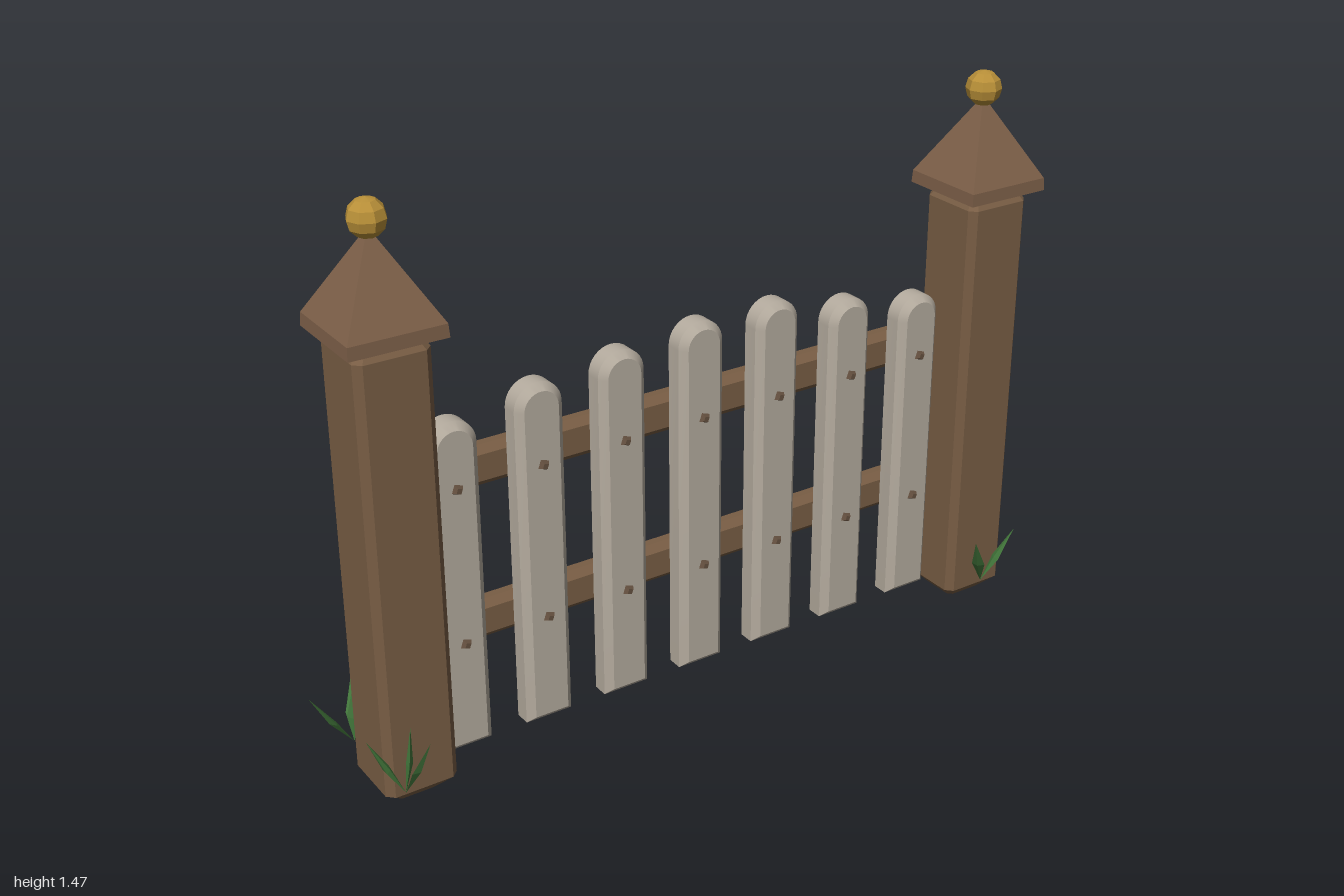
import * as THREE from 'three';
import { toCreasedNormals } from 'three/addons/utils/BufferGeometryUtils.js';
import { ConvexGeometry } from 'three/addons/geometries/ConvexGeometry.js';

const mat = (name, color) => {
  const m = new THREE.MeshStandardMaterial({ color });
  m.name = name;
  return m;
};

// Solid stacked from chamfered rectangles: [height, half width, half depth, chamfer]
function stack(sections) {
  const pts = [];
  for (const [y, w, d, c] of sections)
    for (const sx of [-1, 1]) for (const sz of [-1, 1]) {
      pts.push(new THREE.Vector3(sx * w, y, sz * (d - c)));
      if (c > 0) pts.push(new THREE.Vector3(sx * (w - c), y, sz * d));
    }
  return new ConvexGeometry(pts);
}

// Round-topped board with bevelled edges
function picketGeometry(height) {
  const r = 0.0635, bevel = 0.018, depth = 0.078;
  const s = new THREE.Shape();
  s.moveTo(-r, 0);
  s.lineTo(r, 0);
  s.lineTo(r, height - r);
  s.absarc(0, height - r, r, 0, Math.PI, false);
  s.lineTo(-r, 0);
  const g = new THREE.ExtrudeGeometry(s, {
    depth: depth - 2 * bevel, curveSegments: 8, bevelEnabled: true,
    bevelThickness: bevel, bevelSize: bevel, bevelOffset: -bevel, bevelSegments: 1,
  });
  g.translate(0, 0, bevel);
  return toCreasedNormals(g, 0.6);
}

// Slim leaf with a ridge on both faces, bowed upward between base and tip
function bladeGeometry(base, tip) {
  const a = new THREE.Vector3(...base), b = new THREE.Vector3(...tip);
  const mid = a.clone().lerp(b, 0.45);
  const lean = b.clone().sub(a).setY(0).normalize();
  const side = new THREE.Vector3(-lean.z, 0, lean.x);
  return new ConvexGeometry([
    a, b,
    mid.clone().addScaledVector(side, 0.017),
    mid.clone().addScaledVector(side, -0.017),
    mid.clone().addScaledVector(lean, 0.012),
    mid.clone().addScaledVector(lean, -0.005),
  ]);
}

export function createModel() {
  const root = new THREE.Group();
  root.name = 'picketFence';
  const wood = mat('brown wood', 0x785d44);
  const capWood = mat('cap wood', 0x7c5f48);
  const paleWood = mat('weathered wood', 0xb3aa9d);
  const gold = mat('gold', 0xb88f38);
  const iron = mat('dark nail', 0x64503f);
  const green = mat('grass green', 0x41753a);

  const add = (name, geo, material, x = 0, y = 0, z = 0, parent = root) => {
    const m = new THREE.Mesh(geo, material);
    m.name = name;
    m.position.set(x, y, z);
    parent.add(m);
    return m;
  };

  // Posts with pyramid caps and ball finials
  const postGeo = stack([
    [0, 0.053, 0.053, 0.012], [0.04, 0.093, 0.093, 0.018],
    [1.14, 0.093, 0.093, 0.018], [1.172, 0.07, 0.07, 0.012],
  ]);
  const capGeo = stack([
    [1.168, 0.119, 0.119, 0], [1.2, 0.117, 0.117, 0], [1.395, 0.006, 0.006, 0],
  ]);
  const ballGeo = toCreasedNormals(new THREE.SphereGeometry(0.046, 8, 6), 0.3);
  for (const x of [-0.812, 0.88]) {
    const post = new THREE.Group();
    post.name = x < 0 ? 'rightPost' : 'leftPost';
    post.position.x = x;
    root.add(post);
    add('postShaft', postGeo, wood, 0, 0, 0, post);
    add('postCap', capGeo, capWood, 0, 0, 0, post);
    add('ballFinial', ballGeo, gold, 0, 1.426, 0, post);
  }

  // Rails across the back
  const railGeo = stack([
    [-0.755, 0.036, 0.016, 0.006], [-0.737, 0.052, 0.029, 0.018],
    [0.737, 0.052, 0.029, 0.018], [0.755, 0.036, 0.016, 0.006],
  ]).rotateZ(Math.PI / 2);
  const railHeights = [0.33, 0.74];
  for (const y of railHeights) add('rail', railGeo, wood, 0.035, y, -0.086);

  // Pickets, each nailed to both rails
  const nailGeo = new THREE.CylinderGeometry(0.009, 0.018, 0.014, 4)
    .toNonIndexed().rotateY(0.45).rotateX(Math.PI / 2);
  nailGeo.computeVertexNormals();
  [0.905, 0.945, 0.97, 0.99, 0.99, 0.945, 0.905].forEach((top, i) => {
    const x = -0.642 + i * 0.2252;
    add('picket', picketGeometry(top - 0.037), paleWood, x, 0.037, -0.07);
    for (const y of railHeights) add('nail', nailGeo, iron, x, y, 0.012);
  });

  // Grass tufts: base point, then blade tips
  const tufts = [
    [[-0.875, 0.07, 0.125], [[-0.945, 0.21, 0.08], [-0.855, 0.245, 0.13], [-0.84, 0.235, 0.2]]],
    [[-0.885, 0.07, -0.13], [[-0.995, 0.235, -0.12], [-0.875, 0.21, -0.14], [-0.85, 0.2, -0.205]]],
    [[0.87, 0.07, 0.125], [[0.785, 0.24, 0.19], [0.957, 0.215, 0.15]]],
    [[0.88, 0.07, -0.135], [[0.81, 0.23, -0.175], [0.97, 0.235, -0.13]]],
  ];
  for (const [base, tips] of tufts) {
    const tuft = new THREE.Group();
    tuft.name = 'grassTuft';
    root.add(tuft);
    for (const tip of tips) add('grassBlade', bladeGeometry(base, tip), green, 0, 0, 0, tuft);
  }
  return root;
}
